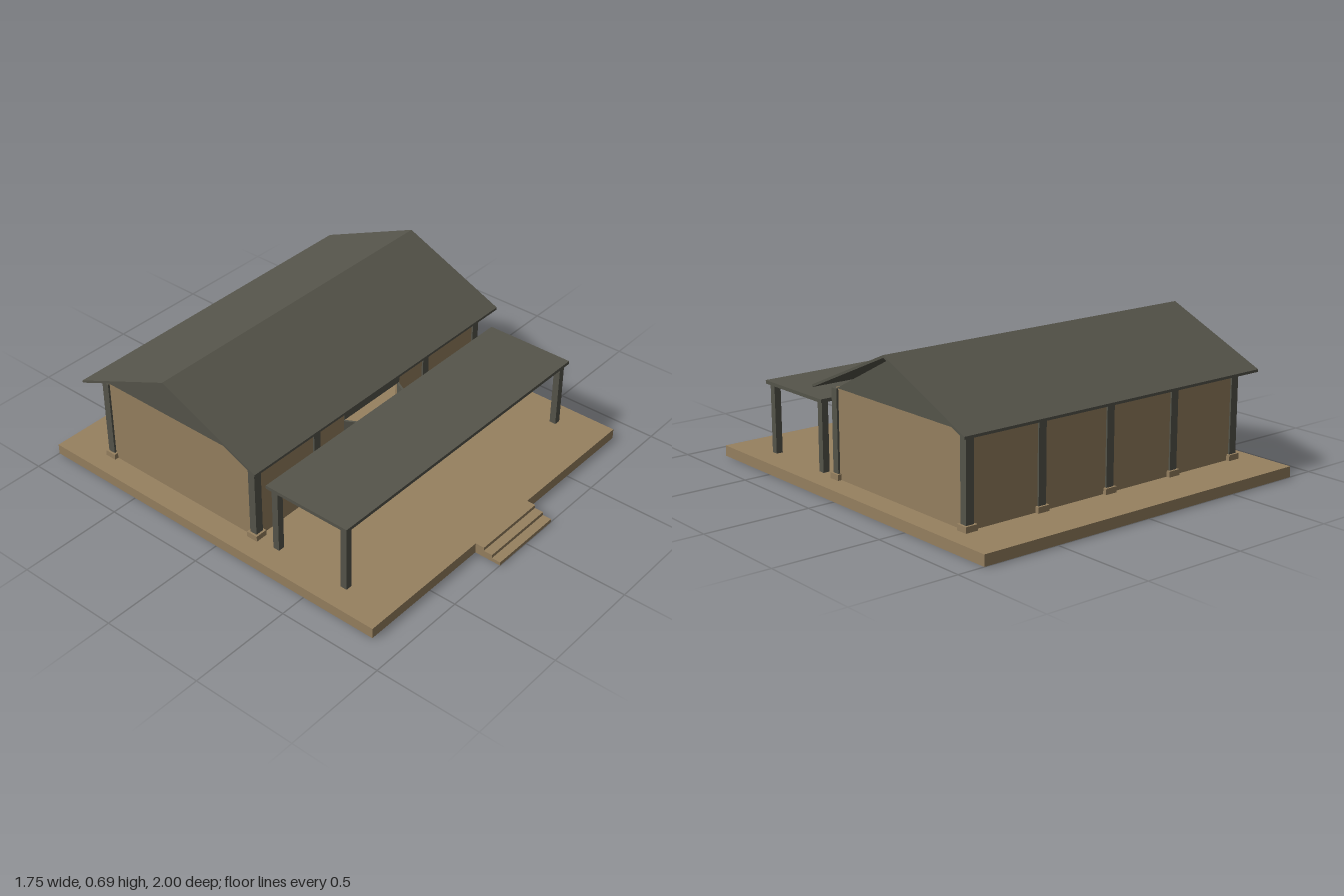
import * as THREE from 'three';

const tan = new THREE.MeshStandardMaterial({ color: 0x978160 });
tan.name = 'sand plaster';
const dark = new THREE.MeshStandardMaterial({ color: 0x56554b });
dark.name = 'dark timber';

// Box given by its minimum and maximum corners
function box(parent, name, material, [x0, y0, z0], [x1, y1, z1]) {
  const mesh = new THREE.Mesh(new THREE.BoxGeometry(x1 - x0, y1 - y0, z1 - z0), material);
  mesh.position.set((x0 + x1) / 2, (y0 + y1) / 2, (z0 + z1) / 2);
  mesh.name = name;
  parent.add(mesh);
  return mesh;
}

// Extrudes a (z, y) outline along x, from x0 to x1
function alongX(parent, name, material, points, x0, x1) {
  const shape = new THREE.Shape(points.map(([z, y]) => new THREE.Vector2(-z, y)));
  const geometry = new THREE.ExtrudeGeometry(shape, { depth: x1 - x0, bevelEnabled: false });
  geometry.rotateY(Math.PI / 2).translate(x0, 0, 0);
  const mesh = new THREE.Mesh(geometry, material);
  mesh.name = name;
  parent.add(mesh);
}

export function createModel() {
  const model = new THREE.Group();
  model.name = 'pavilion';

  const floor = 0.05, eaves = 0.455;
  const front = 0.127, back = -0.748, side = 0.752, ridge = -0.312;
  const t = 0.01; // half the wall thickness

  // Platform and front steps
  box(model, 'platform', tan, [-0.873, 0, -1], [0.873, floor, 0.87]);
  for (let i = 0; i < 3; i++) {
    const z = 0.87 + i * 0.0433;
    box(model, 'step', tan, [-0.187, 0, z], [0.187, floor * (3 - i) / 3, z + 0.0433]);
  }

  // Walls, with a full-height opening at the front
  box(model, 'backWall', tan, [-side, floor, back - t], [side, eaves, back + t]);
  for (const s of [-1, 1]) {
    const x = s * side;
    box(model, 'sideWall', tan, [x - t, floor, back], [x + t, eaves, front]);
    box(model, 'frontWall', tan,
      [Math.min(x, s * 0.19), floor, front - t], [Math.max(x, s * 0.19), eaves, front + t]);
    // Gable on top of each side wall
    alongX(model, 'gable', dark,
      [[front - 0.008, eaves], [back + 0.008, eaves], [ridge, 0.677]], x - t, x + t);
  }

  // Columns with plinths; the middle one stands only at the back
  for (const z of [front, back]) {
    for (const x of [-side, -0.376, 0, 0.376, side]) {
      if (z === front && x === 0) continue;
      box(model, 'column', dark, [x - 0.02, floor, z - 0.018], [x + 0.02, eaves, z + 0.018]);
      box(model, 'plinth', tan, [x - 0.03, floor, z - 0.028], [x + 0.03, 0.077, z + 0.028]);
    }
  }

  // Pitched roof
  const run = 0.517;
  alongX(model, 'roof', dark, [
    [ridge + run, 0.453], [ridge + run, 0.465], [ridge, 0.689],
    [ridge - run, 0.465], [ridge - run, 0.453], [ridge, 0.677],
  ], -0.83, 0.83);

  // Door header and transom mullion
  box(model, 'doorHeader', dark, [-0.19, 0.352, front - 0.012], [0.19, 0.395, front + 0.012]);
  box(model, 'transomMullion', dark, [-0.01, 0.395, front - 0.008], [0.01, eaves, front + 0.008]);

  // Double doors swung outward
  for (const s of [-1, 1]) {
    const hinge = new THREE.Group();
    hinge.name = 'door';
    hinge.position.set(s * 0.187, 0, front + 0.008);
    hinge.rotation.y = s * 1.08;
    box(hinge, 'doorLeaf', dark,
      [s < 0 ? 0 : -0.187, floor + 0.002, -0.005], [s < 0 ? 0.187 : 0, 0.347, 0.005]);
    model.add(hinge);
  }

  // Free-standing porch with a flat roof
  const porch = new THREE.Group();
  porch.name = 'porch';
  model.add(porch);
  box(porch, 'porchRoof', dark, [-0.78, 0.371, 0.217], [0.78, 0.387, 0.655]);
  for (const x of [-0.748, 0.748]) {
    for (const z of [0.25, 0.625]) {
      box(porch, 'porchPost', dark, [x - 0.016, floor, z - 0.016], [x + 0.016, 0.371, z + 0.016]);
    }
  }

  return model;
}
